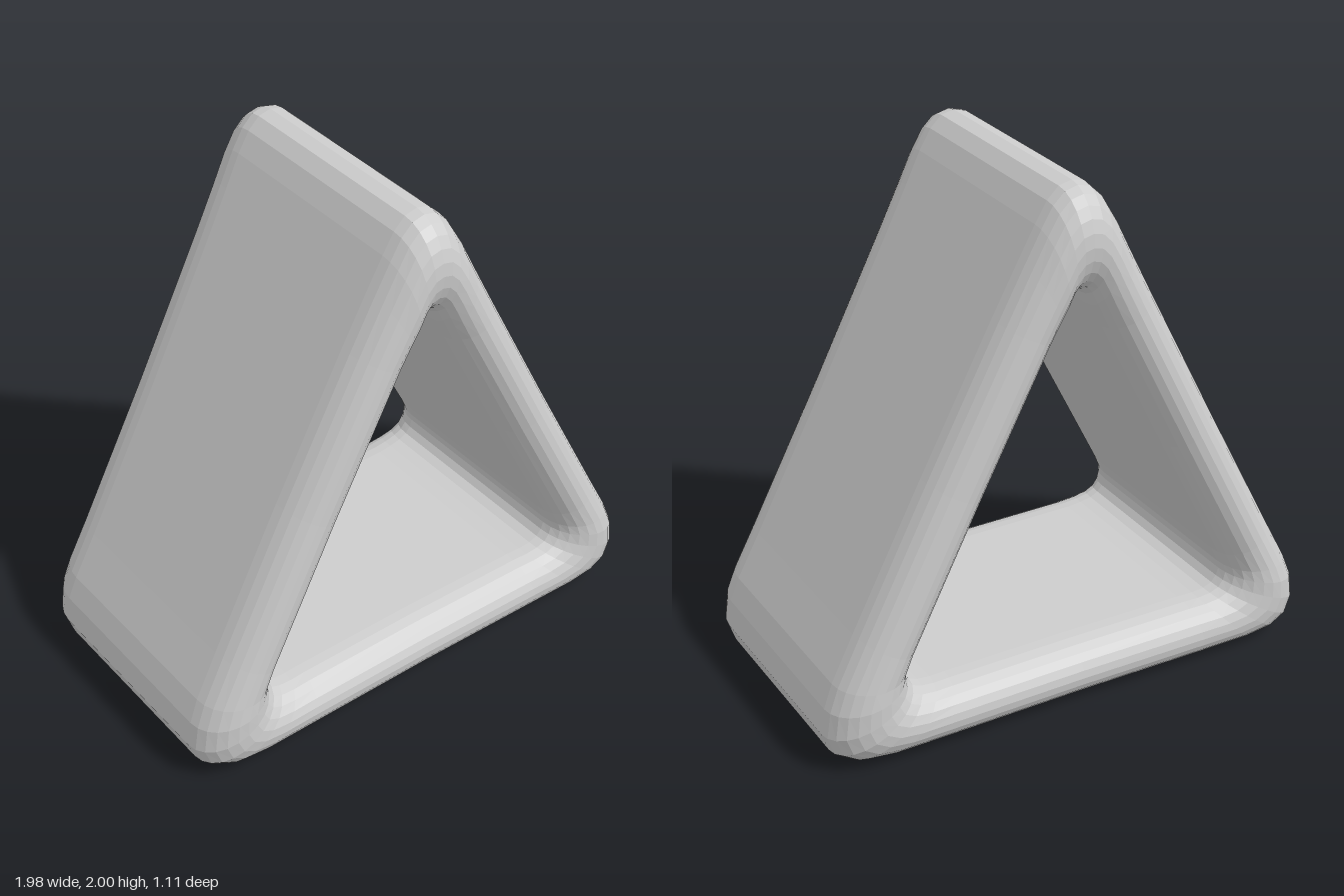
import * as THREE from 'three';

// Stations from the apex down the left (+x) wall to the middle of the base:
// outer x, outer y, inner x, inner y, half depth
const STATIONS = [
  [0, 2, 0, 1.62, 0.555],
  [0.05, 1.988, 0.018, 1.614, 0.555],
  [0.095, 1.945, 0.036, 1.592, 0.555],
  [0.14, 1.87, 0.058, 1.545, 0.555],
  [0.2, 1.753, 0.078, 1.506, 0.55],
  [0.3, 1.56, 0.104, 1.455, 0.545],
  [0.575, 1.03, 0.375, 0.926, 0.54],
  [0.851, 0.5, 0.645, 0.4, 0.545],
  [0.94, 0.33, 0.671, 0.34, 0.55],
  [0.975, 0.24, 0.675, 0.31, 0.555],
  [0.99, 0.14, 0.665, 0.28, 0.555],
  [0.965, 0.065, 0.645, 0.255, 0.555],
  [0.9, 0.022, 0.61, 0.24, 0.553],
  [0.78, 0.004, 0.56, 0.233, 0.55],
  [0.55, 0, 0.5, 0.231, 0.545],
  [0, 0, 0, 0.231, 0.54],
];

// Sweeps a slab with rounded front and back edges around the triangle
function triangularRing() {
  const mirrored = STATIONS.slice(1, -1).reverse().map(([a, b, c, d, e]) => [-a, b, -c, d, e]);
  const stations = [...STATIONS, ...mirrored];
  const arc = 12, round = 0.15;

  // Section: s runs from outer (0) to inner (1), z is on the front or back edge
  const section = [];
  for (const side of [1, -1]) {
    for (let k = 0; k <= arc; k++) {
      const a = (Math.PI * k) / arc;
      section.push({ s: 0.5 - 0.5 * side * Math.cos(a), side, bulge: Math.sin(a) });
    }
  }

  const positions = [], index = [];
  const n = stations.length, m = section.length;
  stations.forEach(([ox, oy, ix, iy, depth], i) => {
    section.forEach(({ s, side, bulge }, j) => {
      const z = side * (depth - round + round * bulge);
      positions.push(ox + (ix - ox) * s, oy + (iy - oy) * s, z);
      const i2 = (i + 1) % n, j2 = (j + 1) % m;
      const a = i * m + j, b = i * m + j2, c = i2 * m + j, d = i2 * m + j2;
      index.push(a, b, c, b, d, c);
    });
  });

  const geometry = new THREE.BufferGeometry();
  geometry.setAttribute('position', new THREE.Float32BufferAttribute(positions, 3));
  geometry.setIndex(index);
  geometry.computeVertexNormals();
  return geometry;
}

export function createModel() {
  const group = new THREE.Group();
  group.name = 'triangularFrame';

  const grey = new THREE.MeshStandardMaterial({ color: 0xcccccc, flatShading: true });
  grey.name = 'light grey';

  const ring = new THREE.Mesh(triangularRing(), grey);
  ring.name = 'roundedTriangleRing';
  group.add(ring);
  return group;
}
